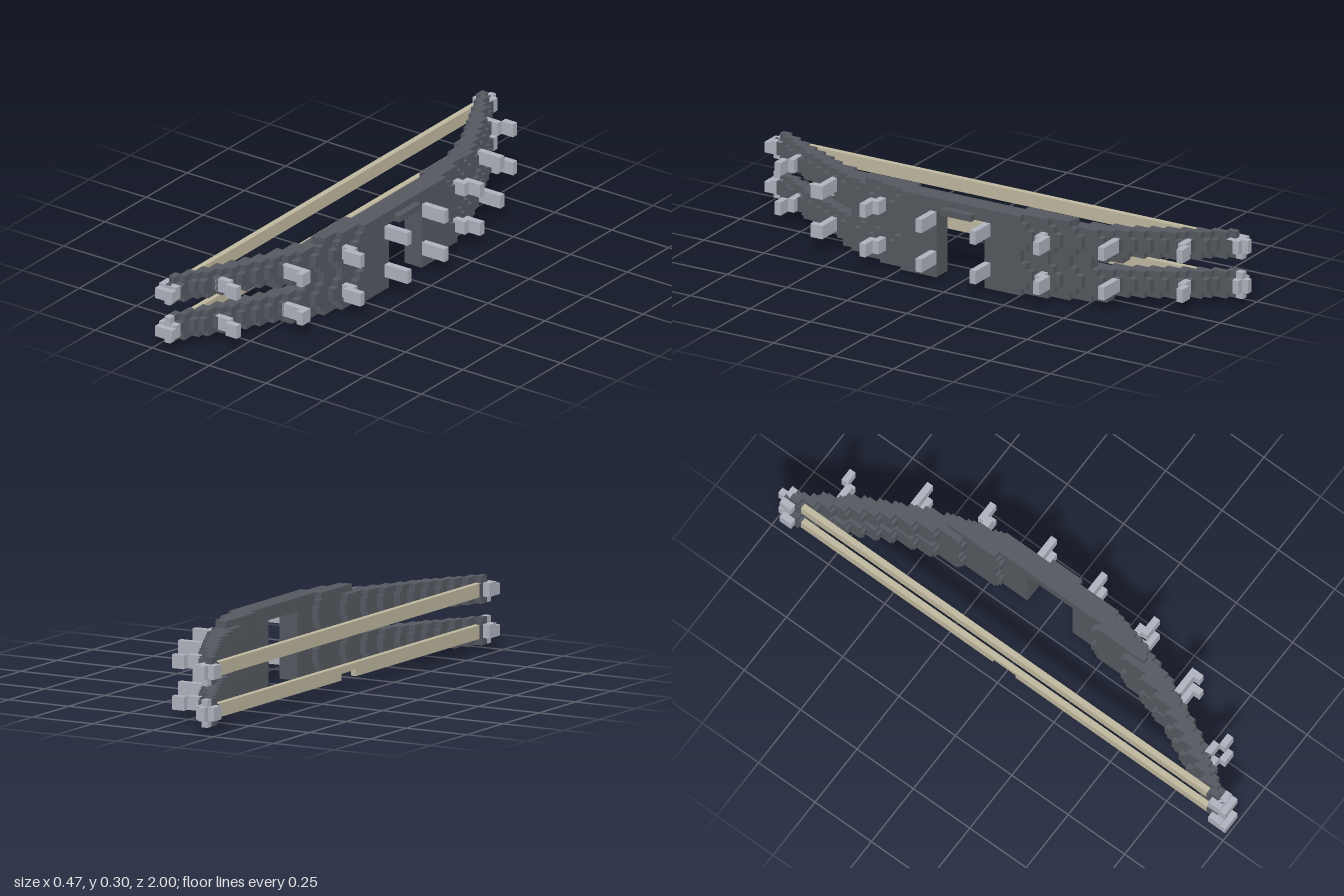
import * as THREE from 'three';
import { mergeGeometries } from 'three/addons/utils/BufferGeometryUtils.js';

const mat = (name, color) => Object.assign(new THREE.MeshStandardMaterial({ color }), { name });

// axis-aligned block from its minimum and maximum corners
function block(x0, x1, y0, y1, z0, z1) {
  const g = new THREE.BoxGeometry(x1 - x0, y1 - y0, z1 - z0);
  return g.translate((x0 + x1) / 2, (y0 + y1) / 2, (z0 + z1) / 2);
}

// the same block on both ends of the bow
const pair = (x0, x1, y0, y1, z0, z1) =>
  [block(x0, x1, y0, y1, z0, z1), block(x0, x1, y0, y1, -z1, -z0)];

export function createModel() {
  const dark = mat('darkMetal', 0x555960);
  const light = mat('lightMetal', 0xb0b3be);
  const cord = mat('bowstringCord', 0xc0b89f);
  const model = new THREE.Group();
  model.name = 'doubleBow';
  const add = (name, blocks, material) => {
    const mesh = new THREE.Mesh(mergeGeometries(blocks), material);
    mesh.name = name;
    model.add(mesh);
  };
  const U = 0.025;

  // curve of the limbs: for each step in x, from the grip outwards, where it starts and ends in |z|
  const columns = [
    [0, 0.3], [0, 0.4], [0, 0.475], [0.2, 0.55], [0.35, 0.6], [0.45, 0.65], [0.525, 0.7],
    [0.6, 0.75], [0.65, 0.8], [0.7, 0.825], [0.75, 0.875], [0.8, 0.9], [0.85, 0.95], [0.9, 0.975],
  ];
  // layers: bottom, top, reach in |z|, lowest x, relief trim at the edges
  const rows = [
    [0, 0.025, 0.55, -0.0125, 0.05],
    [0.025, 0.05, 1, -1, 0.025],
    [0.05, 0.1, 1, -1, 0],
    [0.1, 0.125, 1, -1, 0.025],
    [0.125, 0.15, 0.5, 0.0125, 0.05],
    [0.15, 0.175, 0.6, -0.0375, 0.05],
    [0.175, 0.2, 1, -1, 0.025],
    [0.2, 0.25, 1, -1, 0],
    [0.25, 0.275, 1, -1, 0.025],
    [0.275, 0.3, 0.435, 0.0375, 0.05],
  ];
  const limbs = [];
  for (const [y0, y1, reach, xMin, trim] of rows) {
    columns.forEach(([start, end], i) => {
      const x = 0.1125 - i * U;
      if (x < xMin - 0.001) return;
      // the grip window stays open below the bridge
      const z0 = Math.max(start ? start + trim / 2 : 0, y1 <= 0.2501 ? 0.1 : 0);
      const z1 = Math.min(end - trim, reach);
      if (z1 - z0 > 0.005) limbs.push(...pair(x, x + U, y0, y1, z0, z1));
    });
  }
  add('limbs', limbs, dark);
  add('gripRidge', [block(0.1375, 0.1625, 0.25, 0.275, -0.06, 0.07)], dark);

  // fittings repeat on the lower and the upper bow
  [0.05, 0.2].forEach((y, k) => {
    const side = k ? 'upper' : 'lower';
    const t = y + 0.05;
    add(side + 'Prongs', [
      ...pair(0.1375, 0.2375, y, t, 0.1, 0.125),
      ...pair(0.1, 0.1625, y, t, 0.325, 0.35),
      ...pair(0.1375, 0.2125, y, t, 0.35, 0.375),
      ...pair(0.03, 0.1375, y, t, 0.575, 0.6),
      block(0.1125, 0.1375, y, t, 0.6, 0.625),
      ...pair(-0.1, -0.0375, y, t, 0.8, 0.825),
      ...pair(-0.0375, 0.0125, y, t, 0.825, 0.85),
    ], light);

    // tip caps, cross shaped
    add(side + 'Tips', [
      ...pair(-0.2375, -0.1625, y, t, 0.925, 0.975),
      block(-0.2375, -0.1625, y, y + 0.04, 0.975, 1),
      block(-0.2125, -0.1875, y, t, -1, -0.975),
      ...pair(-0.2125, -0.1875, y - U, k ? t : t + U, 0.95, 0.978),
    ], light);

    // string, the lower one notched in the middle
    const x0 = -0.211, x1 = -0.189;
    add(side + 'String', k
      ? [block(x0, x1, y, t, -0.95, 0.95)]
      : [block(x0, x1, y + U, t, -0.05, 0.05), ...pair(x0, x1, y, t, 0.05, 0.95)], cord);
  });

  return model;
}
